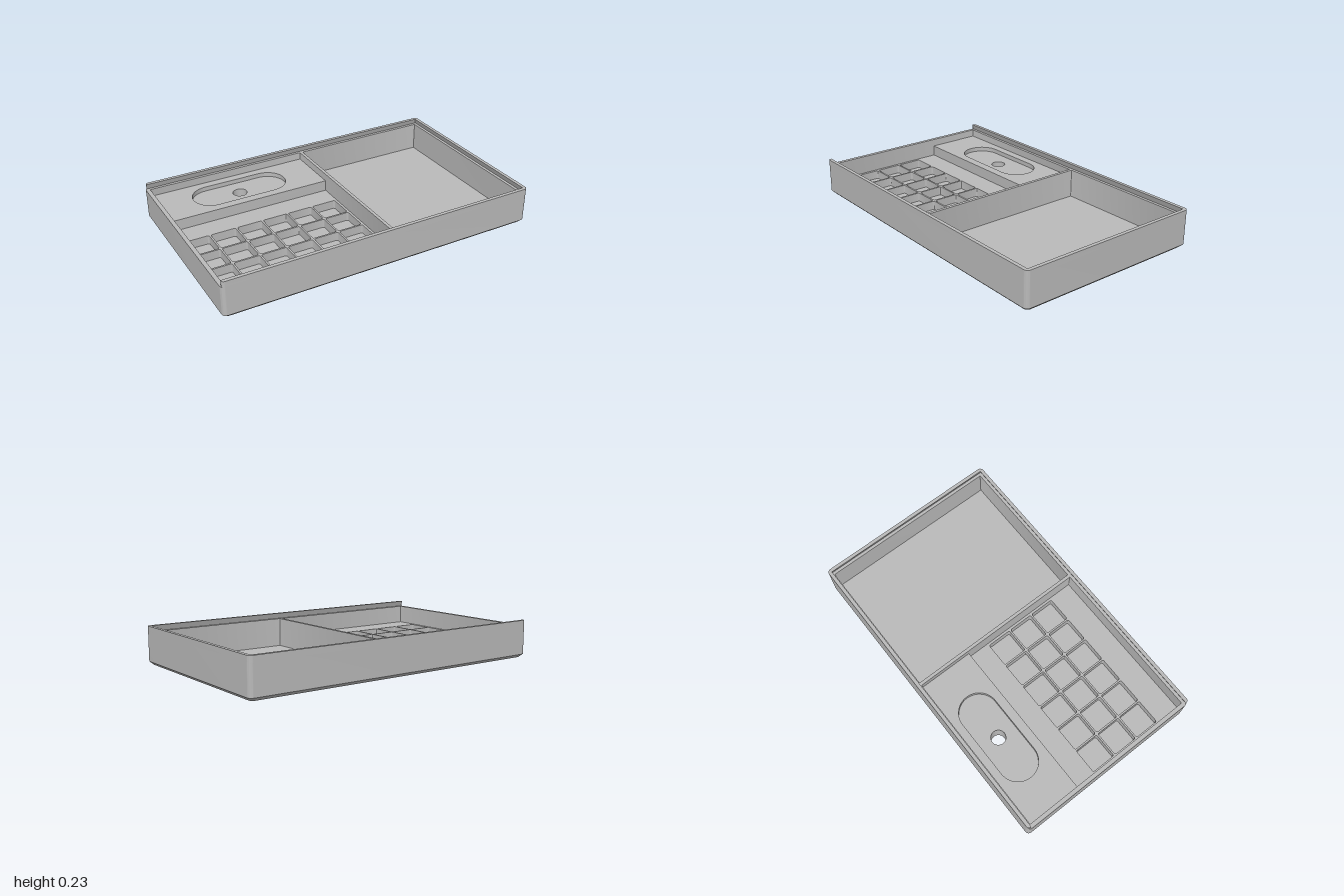
import * as THREE from 'three';
import { toCreasedNormals } from 'three/addons/utils/BufferGeometryUtils.js';

// Rounded rectangle in plan (x across, z towards the front)
function roundRect(Type, x0, x1, z0, z1, r) {
  const s = new Type();
  const a = -z1, b = -z0; // plan y runs opposite to z
  s.moveTo(x0 + r, a);
  s.lineTo(x1 - r, a);
  s.absarc(x1 - r, a + r, r, -Math.PI / 2, 0);
  s.lineTo(x1, b - r);
  s.absarc(x1 - r, b - r, r, 0, Math.PI / 2);
  s.lineTo(x0 + r, b);
  s.absarc(x0 + r, b - r, r, Math.PI / 2, Math.PI);
  s.lineTo(x0, a + r);
  s.absarc(x0 + r, a + r, r, Math.PI, Math.PI * 1.5);
  return s;
}

function circleHole(x, z, r) {
  const p = new THREE.Path();
  p.absarc(x, -z, r, 0, Math.PI * 2);
  return p;
}

// Upright slab from y0 to y1, with an optional rule that moves its vertices
function slab(name, shape, holes, y0, y1, material, rule) {
  shape.holes.push(...holes);
  const g = new THREE.ExtrudeGeometry(shape, { depth: y1 - y0, bevelEnabled: false, curveSegments: 10 });
  g.rotateX(-Math.PI / 2);
  g.translate(0, y0, 0);
  if (rule) {
    const p = g.attributes.position, v = new THREE.Vector3();
    for (let i = 0; i < p.count; i++) {
      rule(v.fromBufferAttribute(p, i));
      p.setXYZ(i, v.x, v.y, v.z);
    }
  }
  const mesh = new THREE.Mesh(toCreasedNormals(g, 0.5), material);
  mesh.name = name;
  return mesh;
}

export function createModel() {
  const group = new THREE.Group();
  group.name = 'compartmentTray';
  const grey = new THREE.MeshStandardMaterial({ color: 0xbababa });
  grey.name = 'grey';

  const S = THREE.Shape, P = THREE.Path;
  const left = [-0.975, 0.055], right = [0.075, 0.97], inZ = 0.57;
  const floorY = 0.02, ledgeY = 0.2, topY = 0.235;
  const drain = () => circleHole(-0.46, -0.395, 0.045);

  // Floor with chamfered underside
  group.add(slab('floor', roundRect(S, -1, 1, -0.6, 0.6, 0.025), [drain()], 0, floorY, grey, v => {
    if (v.y < 0.001 && (Math.abs(v.x) > 0.9 || Math.abs(v.z) > 0.5)) {
      v.x *= 0.98;
      v.z *= 0.58 / 0.6;
    }
  }));

  // Outer walls and divider up to the lid ledge
  group.add(slab('walls', roundRect(S, -1, 1, -0.6, 0.6, 0.025), [
    roundRect(P, ...left, -inZ, inZ, 0.002),
    roundRect(P, ...right, -inZ, inZ, 0.002),
  ], floorY, ledgeY, grey));

  // Undercut lid rail on three sides, open at the left end
  const lip = 0.578, lipX = 0.978, r = 0.025;
  const rail = new S();
  rail.moveTo(-1 + r, -0.6);
  rail.lineTo(1 - r, -0.6);
  rail.absarc(1 - r, -0.6 + r, r, -Math.PI / 2, 0);
  rail.lineTo(1, 0.6 - r);
  rail.absarc(1 - r, 0.6 - r, r, 0, Math.PI / 2);
  rail.lineTo(-1 + r, 0.6);
  rail.quadraticCurveTo(-0.995, 0.6, -0.993, lip);
  rail.lineTo(lipX, lip);
  rail.lineTo(lipX, -lip);
  rail.lineTo(-0.993, -lip);
  rail.quadraticCurveTo(-0.995, -0.6, -1 + r, -0.6);
  group.add(slab('lidRail', rail, [], ledgeY, topY, grey, v => {
    if (v.y > ledgeY + 0.001) return;
    const inner = Math.abs(Math.abs(v.z) - lip) < 1e-4 && v.x < lipX + 1e-4;
    if (inner) {
      v.z += Math.sign(v.z) * 0.011;
      if (v.x > 0.9) v.x += 0.011;
    }
  }));

  // Pocket floor and the grid of square pockets
  const deckZ = -0.22;
  group.add(slab('pocketFloor', roundRect(S, ...left, deckZ, inZ, 0.001), [], floorY, 0.03, grey));
  const pockets = [];
  for (let row = 0; row < 3; row++) {
    for (let col = 0; col < 6; col++) {
      const x = -0.957 + col * 0.168, z = -0.077 + row * 0.168;
      pockets.push(roundRect(P, x, x + 0.157, z, z + 0.157, 0.01));
    }
  }
  group.add(slab('pocketGrid', roundRect(S, ...left, deckZ, inZ, 0.001), pockets, 0.03, 0.085, grey));

  // Raised deck with an oblong recess and a through hole
  const deck = () => roundRect(S, ...left, -inZ, deckZ, 0.001);
  group.add(slab('deckBase', deck(), [drain()], floorY, 0.125, grey));
  group.add(slab('deckTop', deck(), [roundRect(P, -0.765, -0.155, -0.517, -0.275, 0.1209)], 0.125, 0.153, grey));

  return group;
}
